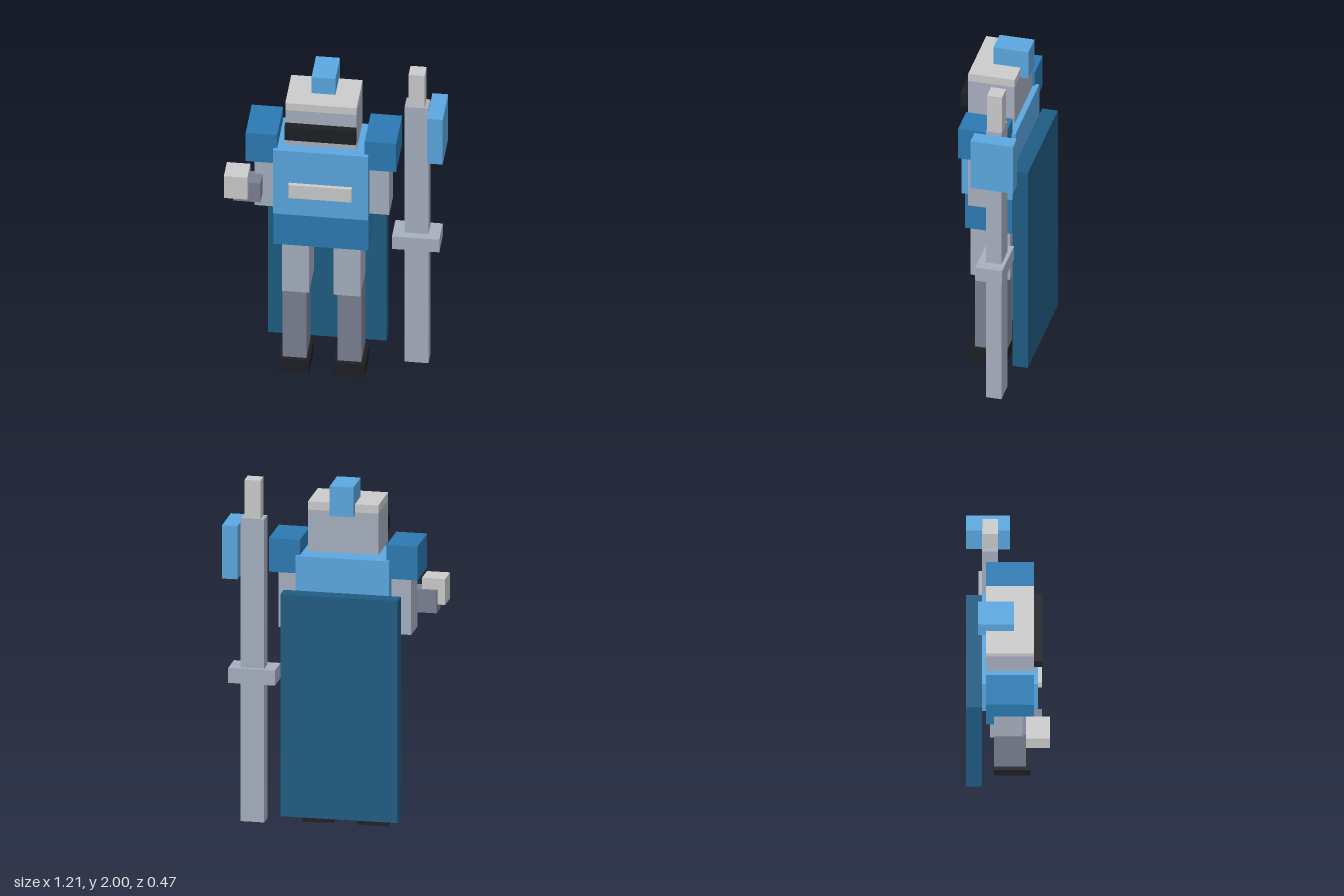
import * as THREE from 'three';

const material = (color) => new THREE.MeshStandardMaterial({ color, flatShading: true });

export function createModel() {
  const model = new THREE.Group();
  model.name = 'blockKnight';

  const pale = material(0xcccccc);
  const steel = material(0xa8b0c0);
  const darkSteel = material(0x7b8192);
  const sky = material(0x5ba8e0);
  const blue = material(0x2b7ab2);
  const navy = material(0x1f5c83);
  const black = material(0x1e1f24);

  // A box given by its [min, max] extent on each axis
  function block(parent, name, mat, [x0, x1], [y0, y1], [z0, z1]) {
    const mesh = new THREE.Mesh(new THREE.BoxGeometry(x1 - x0, y1 - y0, z1 - z0), mat);
    mesh.position.set((x0 + x1) / 2, (y0 + y1) / 2, (z0 + z1) / 2);
    mesh.name = name;
    parent.add(mesh);
  }

  function part(name, x = 0) {
    const group = new THREE.Group();
    group.name = name;
    group.position.x = x;
    model.add(group);
    return group;
  }

  // The body's own centre line, shifted to make room for the polearm
  const bodyX = -0.0685;

  // Head: helmet, visor band and plume
  const head = part('head', bodyX);
  block(head, 'helmet', steel, [-0.202, 0.202], [1.6, 1.842], [-0.125, 0.145]);
  block(head, 'helmetCap', pale, [-0.202, 0.202], [1.842, 1.89], [-0.125, 0.145]);
  block(head, 'visor', black, [-0.202, 0.202], [1.665, 1.755], [0.145, 0.19]);
  block(head, 'plume', sky, [-0.068, 0.068], [1.825, 2], [-0.17, 0.033]);

  // Torso, chest plate, skirt and cape
  const torso = part('torso', bodyX);
  block(torso, 'chest', sky, [-0.269, 0.269], [1.13, 1.572], [-0.146, 0.167]);
  block(torso, 'chestBar', pale, [-0.179, 0.179], [1.263, 1.353], [0.16, 0.19]);
  block(torso, 'skirt', blue, [-0.268, 0.268], [0.903, 1.17], [-0.125, 0.145]);
  block(torso, 'cape', navy, [-0.336, 0.336], [0.07, 1.37], [-0.236, -0.146]);

  // Mirrored limbs
  for (const [side, s] of [['left', 1], ['right', -1]]) {
    const span = (a, b) => (s > 0 ? [a, b] : [-b, -a]);
    const arm = part(side + 'Arm', bodyX);
    block(arm, 'shoulderPad', blue, span(0.248, 0.426), [1.465, 1.662], [-0.125, 0.145]);
    block(arm, 'upperArm', steel, span(0.255, 0.381), [1.13, 1.6], [-0.08, 0.1]);

    const leg = part(side + 'Leg', bodyX);
    block(leg, 'thigh', steel, span(0.07, 0.222), [0.565, 0.92], [-0.103, 0.126]);
    block(leg, 'shin', darkSteel, span(0.088, 0.223), [0.08, 0.585], [-0.08, 0.1]);
    block(leg, 'boot', black, span(0.069, 0.245), [0, 0.09], [-0.08, 0.126]);
  }

  // Right hand with its gauntlet
  const hand = part('rightHand');
  block(hand, 'fist', darkSteel, [-0.562, -0.405], [1.217, 1.35], [0.08, 0.19]);
  block(hand, 'gauntlet', pale, [-0.607, -0.474], [1.263, 1.415], [0.1, 0.235]);

  // Polearm standing at the left side
  const polearm = part('polearm');
  block(polearm, 'shaft', steel, [0.38, 0.515], [0, 1.775], [-0.146, -0.057]);
  block(polearm, 'tip', pale, [0.402, 0.493], [1.775, 2], [-0.145, -0.058]);
  block(polearm, 'crossGuard', steel, [0.314, 0.582], [0.812, 0.9], [-0.168, -0.012]);
  block(polearm, 'axeBlade', sky, [0.515, 0.604], [1.442, 1.753], [-0.236, 0.01]);

  return model;
}
